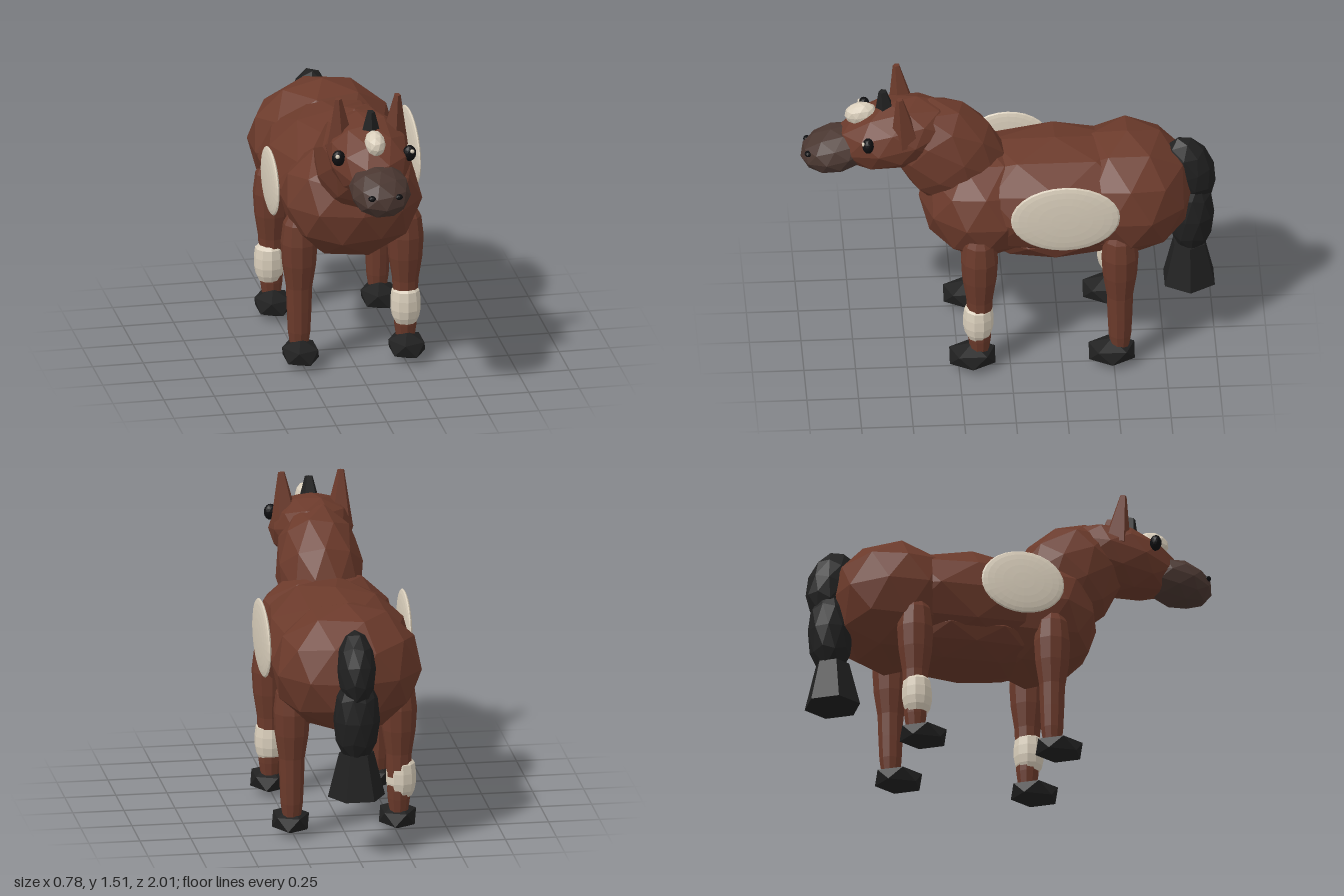
import * as THREE from 'three';

export function createModel() {
  const model = new THREE.Group();
  model.name = 'horse';

  const paint = (name, color) => {
    const m = new THREE.MeshStandardMaterial({ color, flatShading: true });
    m.name = name;
    return m;
  };
  const brown = paint('chestnut coat', 0x6b3a2b);
  const muzzleGrey = paint('muzzle', 0x4a3731);
  const black = paint('hair and hoof', 0x202020);
  const dark = paint('eye', 0x0e0e10);
  const cream = paint('cream marking', 0xd9cebb);

  const add = (name, geo, mat, pos, rot = [0, 0, 0], parent = model) => {
    const mesh = new THREE.Mesh(geo, mat);
    mesh.name = name;
    mesh.position.set(...pos);
    mesh.rotation.set(...rot);
    parent.add(mesh);
    return mesh;
  };
  // Faceted ellipsoid with one vertex pointing straight up
  const ball = (name, mat, pos, radii, pitch = 0, detail = 1, parent = model) => {
    const geo = new THREE.IcosahedronGeometry(1, detail);
    geo.rotateZ(Math.atan(2 / (1 + Math.sqrt(5))));
    geo.scale(...radii);
    return add(name, geo, mat, pos, [pitch, 0, 0], parent);
  };
  // Tapered horn shape
  const taper = (rTop, rBottom, h, sides) => new THREE.CylinderGeometry(rTop, rBottom, h, sides);
  const profile = (points) => points.map(([r, y]) => new THREE.Vector2(r, y));

  // Torso
  ball('barrel', brown, [0, 0.86, -0.23], [0.37, 0.295, 0.62]);
  ball('belly', brown, [0, 0.69, -0.22], [0.29, 0.145, 0.44]);
  ball('rump', brown, [0, 0.86, -0.58], [0.37, 0.32, 0.325]);
  ball('chest', brown, [0, 0.84, 0.12], [0.35, 0.3, 0.31]);

  // Neck, head and muzzle
  ball('neck', brown, [0, 1.09, 0.28], [0.215, 0.335, 0.25], 0.7);
  ball('head', brown, [0, 1.222, 0.545], [0.205, 0.17, 0.3], 0.25);
  ball('muzzle', muzzleGrey, [0, 1.138, 0.83], [0.15, 0.11, 0.178], 0.25);
  ball('blaze', cream, [0, 1.335, 0.71], [0.05, 0.06, 0.08], 0.15);
  add('forelock', taper(0.02, 0.055, 0.13, 5), black, [0, 1.395, 0.597], [0.12, 0, 0]);

  for (const s of [-1, 1]) {
    // Ears, eyes and nostrils
    add('ear', taper(0.017, 0.074, 0.26, 5), brown, [s * 0.138, 1.38, 0.515], [0.12, 0, -s * 0.06]);
    ball('eye', dark, [s * 0.175, 1.262, 0.685], [0.033, 0.04, 0.028], 0, 2);
    ball('eyeGlint', cream, [s * 0.184, 1.278, 0.708], [0.011, 0.011, 0.008]);
    ball('nostril', dark, [s * 0.065, 1.15, 0.968], [0.021, 0.014, 0.018]);
  }

  // Legs: rounded top, tapering down to the hoof
  const legProfile = profile([
    [0.045, 0.1], [0.055, 0.17], [0.06, 0.28], [0.064, 0.4],
    [0.083, 0.52], [0.09, 0.63], [0.078, 0.73], [0.045, 0.79], [0, 0.81],
  ]);
  const sockProfile = profile([
    [0.052, 0.18], [0.066, 0.21], [0.074, 0.25], [0.074, 0.3], [0.068, 0.345], [0.05, 0.364],
  ]);
  const legs = [
    ['frontLeftLeg', 0.262, 0.15, 0.035, true],
    ['frontRightLeg', -0.262, 0.15, 0.035, false],
    ['hindLeftLeg', 0.262, -0.53, 0.04, false],
    ['hindRightLeg', -0.262, -0.53, 0.04, true],
  ];
  for (const [name, x, z, toe, hasSock] of legs) {
    const leg = new THREE.Group();
    leg.name = name;
    leg.position.set(x, 0, z);
    model.add(leg);
    add('limb', new THREE.LatheGeometry(legProfile, 10), brown, [0, 0, 0], [0, 0, 0], leg);
    ball('hoof', black, [0, 0.07, toe], [0.102, 0.07, 0.13], 0, 0, leg);
    if (hasSock) {
      // Hind sock sits slightly to the outside of the limb
      const offset = z < 0 ? -0.012 : 0;
      add('sock', new THREE.LatheGeometry(sockProfile, 10), cream, [offset, 0, 0.006], [0, 0, 0], leg);
    }
  }

  // Cream flank patches, flattened discs standing proud of the coat
  const patch = (name, pos, radii) => {
    const geo = new THREE.SphereGeometry(1, 28, 12);
    geo.rotateZ(Math.PI / 2);
    geo.scale(...radii);
    add(name, geo, cream, pos);
  };
  patch('leftFlankPatch', [0.366, 0.925, -0.26], [0.022, 0.185, 0.265]);
  patch('rightFlankPatch', [-0.37, 0.89, -0.02], [0.022, 0.163, 0.205]);

  // Tail: two swellings and a flared tip
  ball('tailTop', black, [0, 0.94, -0.88], [0.095, 0.19, 0.125], 0.3);
  ball('tailMiddle', black, [0, 0.69, -0.89], [0.115, 0.23, 0.112]);
  add('tailTip', taper(0.085, 0.14, 0.22, 6), black, [0, 0.41, -0.88], [0, Math.PI / 6, 0]);

  return model;
}
